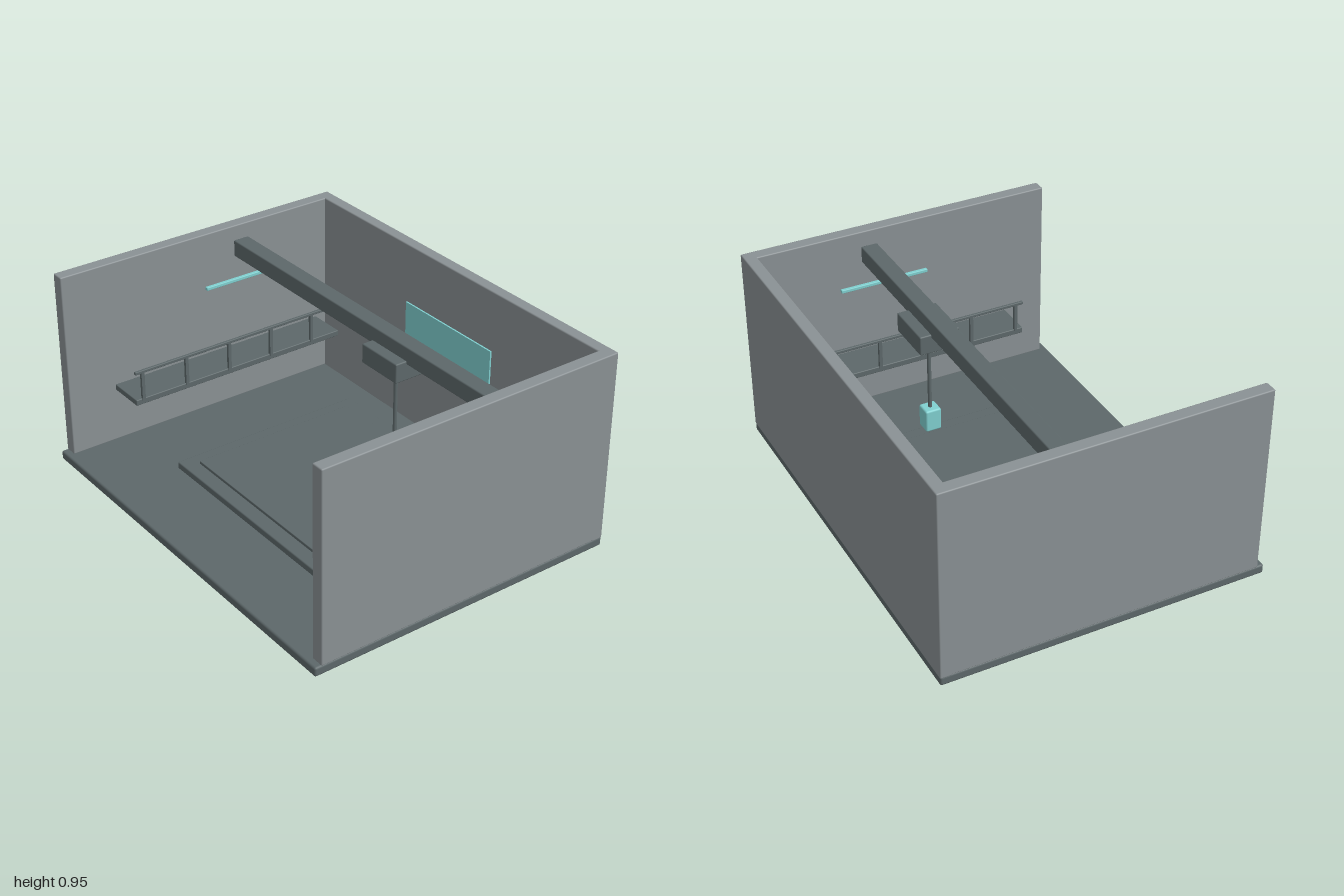
import * as THREE from 'three';
import { RoundedBoxGeometry } from 'three/addons/geometries/RoundedBoxGeometry.js';

const material = (name, color) => {
  const m = new THREE.MeshStandardMaterial({ color });
  m.name = name;
  return m;
};

export function createModel() {
  const wallGrey = material('wall grey', 0x8a9194);
  const darkGrey = material('dark metal', 0x5d686a);
  const cyan = material('cyan light', 0x80d0d0);

  const model = new THREE.Group();
  model.name = 'hangarBay';

  // Box given by its extents on each axis, with slightly softened edges
  const box = (name, mat, [x0, x1], [y0, y1], [z0, z1], radius = 0, parent = model) => {
    const size = [x1 - x0, y1 - y0, z1 - z0];
    const geometry = radius ? new RoundedBoxGeometry(...size, 2, radius) : new THREE.BoxGeometry(...size);
    const mesh = new THREE.Mesh(geometry, mat);
    mesh.position.set((x0 + x1) / 2, (y0 + y1) / 2, (z0 + z1) / 2);
    mesh.name = name;
    parent.add(mesh);
    return mesh;
  };

  // Shell: floor, back wall and raised pad
  box('floor', darkGrey, [-1, 1], [0, 0.045], [-0.767, 0.767], 0.01);
  box('backWall', wallGrey, [-1, 1], [0.038, 0.953], [-0.768, -0.71], 0.006);
  box('padBase', darkGrey, [-0.553, 0.553], [0.04, 0.076], [-0.572, 0.41], 0.006);
  box('padTop', darkGrey, [-0.482, 0.482], [0.07, 0.09], [-0.5, 0.337], 0.003);

  // Window panel on the back wall
  box('wallPanel', cyan, [-0.297, 0.297], [0.5, 0.665], [-0.711, -0.702]);

  // Overhead crane
  const crane = new THREE.Group();
  crane.name = 'crane';
  model.add(crane);
  box('craneBeam', darkGrey, [-0.892, 0.892], [0.826, 0.907], [-0.23, -0.15], 0.006, crane);
  box('craneTrolley', darkGrey, [0.158, 0.392], [0.75, 0.842], [-0.284, -0.095], 0.006, crane);
  const cable = new THREE.Mesh(new THREE.CylinderGeometry(0.009, 0.009, 0.38, 12), darkGrey);
  cable.position.set(0.275, 0.57, -0.19);
  cable.name = 'craneCable';
  crane.add(cable);
  box('craneHook', cyan, [0.237, 0.313], [0.281, 0.39], [-0.228, -0.152], 0.009, crane);

  // Both sides: wall, light strip and railed catwalk
  for (const s of [1, -1]) {
    const side = new THREE.Group();
    side.name = s > 0 ? 'leftSide' : 'rightSide';
    model.add(side);
    const span = (a, b) => (s > 0 ? [a, b] : [-b, -a]);

    box('sideWall', wallGrey, span(0.938, 1), [0.042, 0.953], [-0.768, 0.735], 0.006, side);
    box('lightStrip', cyan, span(0.802, 0.82), [0.742, 0.758], [-0.37, 0.06], 0.003, side);
    box('catwalk', darkGrey, span(0.716, 0.902), [0.33, 0.359], [-0.626, 0.514], 0.004, side);
    box('handrail', darkGrey, span(0.712, 0.726), [0.49, 0.505], [-0.626, 0.514], 0.003, side);
    for (let i = 0; i < 5; i++) {
      const z = 0.475 - i * 0.235;
      box('railPost', darkGrey, span(0.712, 0.726), [0.35, 0.495], [z - 0.008, z + 0.008], 0, side);
    }
  }

  return model;
}
